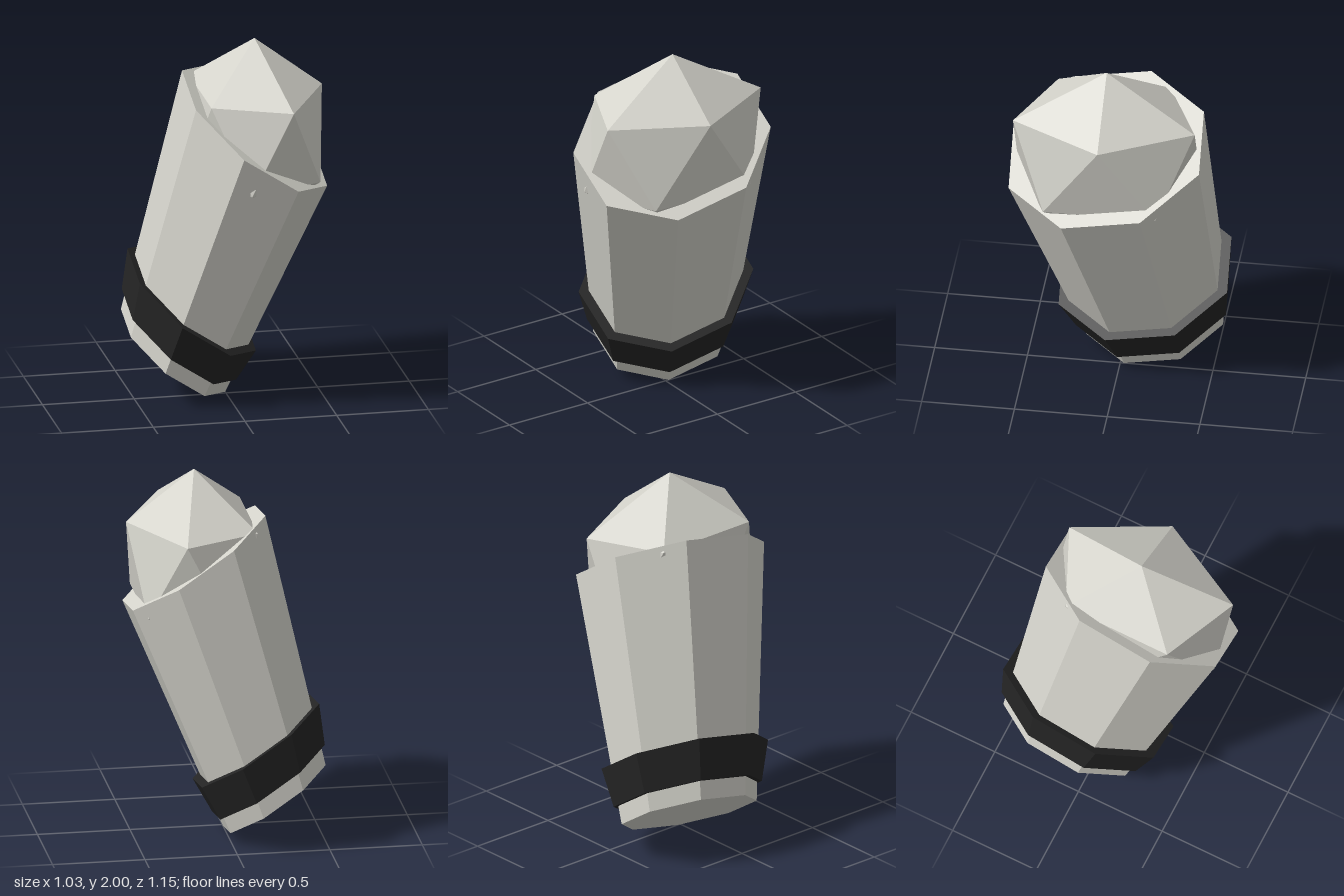
import * as THREE from 'three';

// Leaning axis of the body and the two half-axes of its slanted octagonal section
const BASE = new THREE.Vector3(-0.255, 0.205, -0.16);
const AXIS = new THREE.Vector3(0.40, 1.29, 0.215);
const HALF_A = new THREE.Vector3(0.355, -0.285, 0.195);
const HALF_B = new THREE.Vector3(0.165, 0.005, -0.523);

function flat(geometry) {
  const g = geometry.index ? geometry.toNonIndexed() : geometry;
  g.computeVertexNormals();
  return g;
}

// Sheared eight-sided frustum between fractions t0 and t1 of the axis
function shearedFrustum(t0, t1, scale0, scale1) {
  const g = new THREE.CylinderGeometry(scale1, scale0, 1, 8);
  g.translate(0, 0.5, 0);
  const m = new THREE.Matrix4().makeBasis(HALF_B, AXIS.clone().multiplyScalar(t1 - t0), HALF_A);
  m.setPosition(BASE.clone().addScaledVector(AXIS, t0));
  return flat(g.applyMatrix4(m));
}

export function createModel() {
  const stone = new THREE.MeshStandardMaterial({ color: 0xd5d4cc });
  stone.name = 'pale grey';
  const black = new THREE.MeshStandardMaterial({ color: 0x242424 });
  black.name = 'black';

  const group = new THREE.Group();
  const add = (name, geometry, material) => {
    const mesh = new THREE.Mesh(geometry, material);
    mesh.name = name;
    group.add(mesh);
  };

  // Tapered leaning body with slanted ends
  add('body', shearedFrustum(0, 1, 0.718, 1), stone);

  // Dark collar near the foot
  add('band', shearedFrustum(0.073, 0.229, 0.788, 0.885), black);

  // Faceted head, one corner up, sunk into the top of the body so its lower corners just poke through
  const head = new THREE.IcosahedronGeometry(1, 0);
  head.rotateX(-Math.atan((1 + Math.sqrt(5)) / 2));
  head.rotateY(Math.PI / 2);
  head.scale(0.411, 0.506, 0.576);
  head.translate(0.145, 1.494, 0.052);
  add('head', flat(head), stone);

  return group;
}
